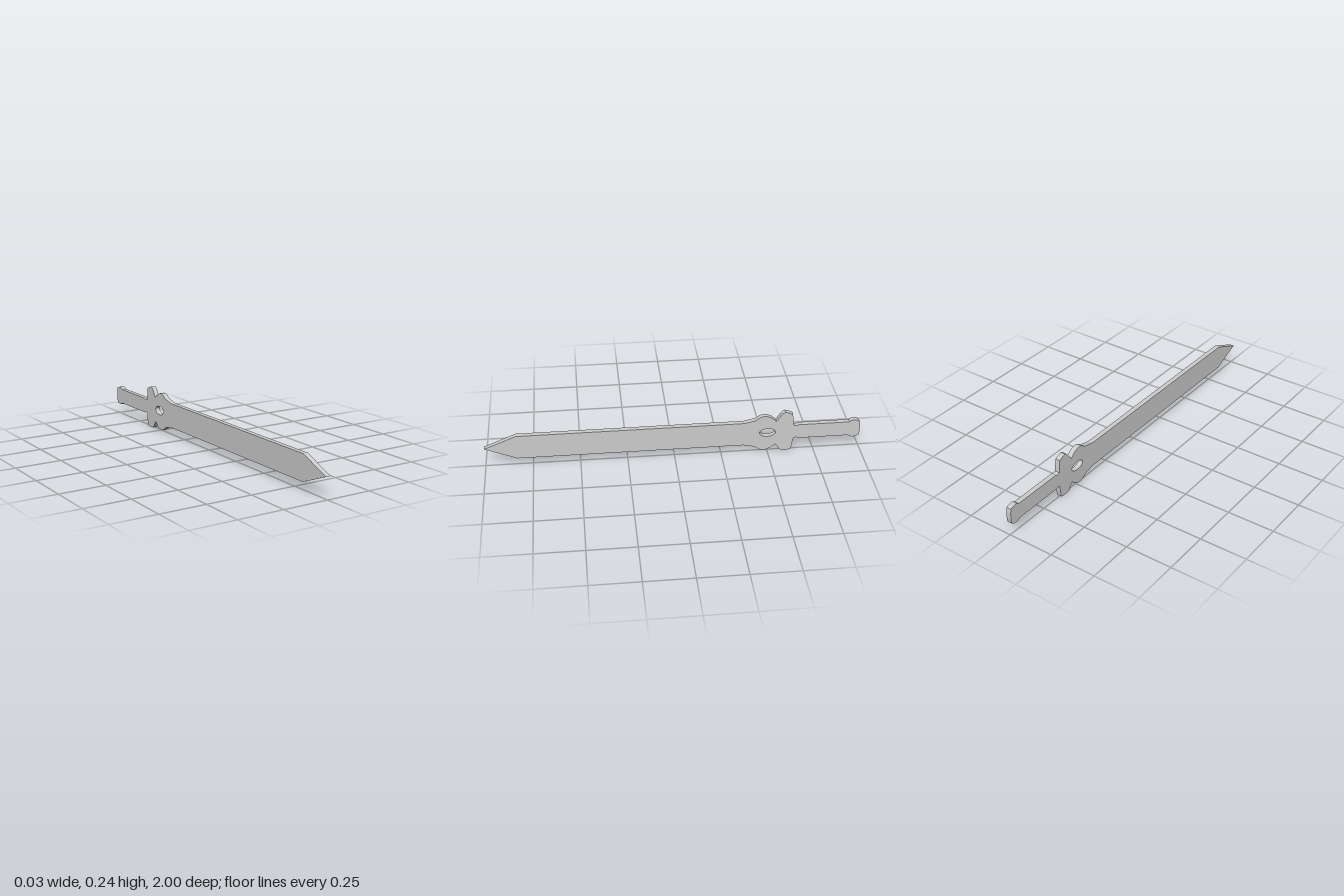
import * as THREE from 'three';

const THICKNESS = 0.027;
const AXIS = 0.113; // height of the sword's long axis

// Half outline from the tip to the pommel: [z, distance from the axis]
const HALF = [
  // blade
  [1, 0], [0.83, 0.069], [-0.37, 0.069],
  // lobe around the eye
  [-0.432, 0.083], [-0.455, 0.1], [-0.475, 0.107], [-0.495, 0.104], [-0.517, 0.094], [-0.543, 0.071],
  // guard wing
  [-0.567, 0.107], [-0.577, 0.119], [-0.59, 0.125], [-0.61, 0.119], [-0.63, 0.109], [-0.635, 0.075], [-0.638, 0.041],
  [-0.648, 0.037], [-0.656, 0.037],
  // grip
  [-0.666, 0.042], [-0.94, 0.042],
  // pommel
  [-0.95, 0.05], [-0.963, 0.053], [-0.985, 0.049], [-0.996, 0.042], [-1, 0.02],
];

export function createModel() {
  const group = new THREE.Group();
  group.name = 'sword';

  // Upper edge, then the mirrored lower edge, whose wing is flattened at the base
  const upper = HALF.map(([z, h]) => new THREE.Vector2(z, AXIS + h));
  const lower = HALF.slice(1).reverse().map(([z, h]) => new THREE.Vector2(z, Math.max(0, AXIS - h)));
  const shape = new THREE.Shape([...upper, ...lower]);

  // Almond-shaped eye through the lobe
  const eye = new THREE.Path();
  eye.absellipse(-0.498, AXIS + 0.003, 0.043, 0.024, 0, Math.PI * 2, true);
  shape.holes.push(eye);

  const geometry = new THREE.ExtrudeGeometry(shape, { depth: THICKNESS, bevelEnabled: false, curveSegments: 16 });
  geometry.translate(0, 0, -THICKNESS / 2);
  geometry.rotateY(-Math.PI / 2); // the tip points to the front

  const body = new THREE.Mesh(geometry, new THREE.MeshStandardMaterial({ color: 0xcccccc }));
  body.name = 'bladeGuardAndGrip';
  group.add(body);
  return group;
}
